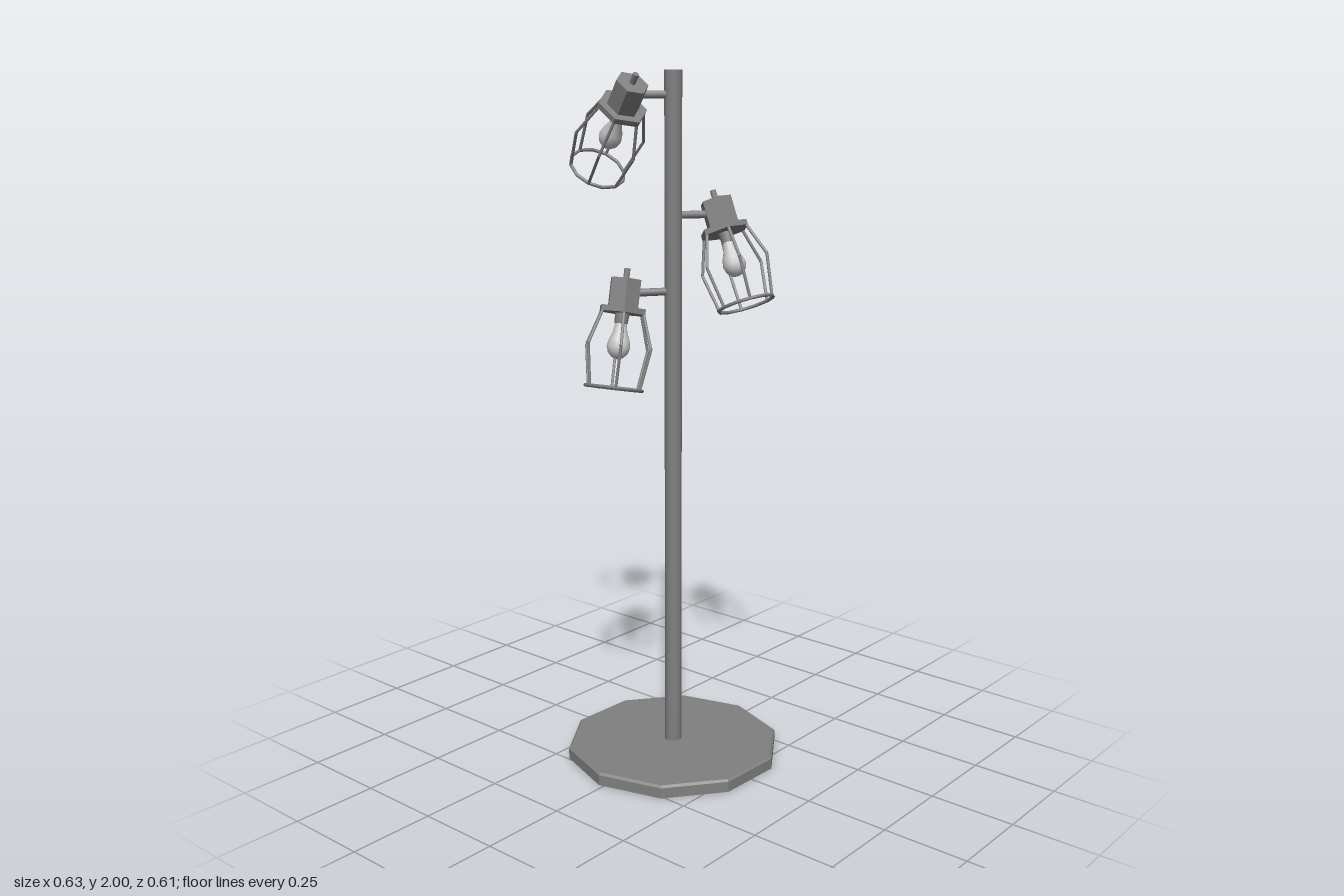
import * as THREE from 'three';

const metal = new THREE.MeshStandardMaterial({ color: 0x808080 });
metal.name = 'grey metal';
const glass = new THREE.MeshStandardMaterial({ color: 0xc8c8c8 });
glass.name = 'pale bulb glass';

const V = (x, y, z) => new THREE.Vector3(x, y, z);
const DOWN = V(0, -1, 0);

// Facet a geometry so each side is flat
function faceted(geometry) {
  const g = geometry.index ? geometry.toNonIndexed() : geometry;
  g.computeVertexNormals();
  return g;
}

function add(parent, name, geometry, material = metal, y = 0) {
  const mesh = new THREE.Mesh(geometry, material);
  mesh.name = name;
  mesh.position.y = y;
  parent.add(mesh);
  return mesh;
}

// Round bar between two points
function bar(parent, name, a, b, radius, sides) {
  const dir = b.clone().sub(a);
  const mesh = add(parent, name, new THREE.CylinderGeometry(radius, radius, dir.length(), sides));
  mesh.position.copy(a).add(b).multiplyScalar(0.5);
  mesh.quaternion.setFromUnitVectors(V(0, 1, 0), dir.normalize());
}

// Spotlight: origin at the top of the cap, hanging along -y before being aimed
function createSpot(turn) {
  const spot = new THREE.Group();
  spot.name = 'spot';
  spot.rotation.y = THREE.MathUtils.degToRad(turn);

  add(spot, 'pin', new THREE.CylinderGeometry(0.009, 0.009, 0.035, 8), metal, 0.012);
  add(spot, 'cap', faceted(new THREE.CylinderGeometry(0.047, 0.047, 0.085, 6)), metal, -0.0425);
  add(spot, 'flange', faceted(new THREE.CylinderGeometry(0.071, 0.071, 0.016, 6)), metal, -0.088);
  add(spot, 'socket', new THREE.CylinderGeometry(0.021, 0.018, 0.03, 12), metal, -0.11);

  // Bulb profile from its tip up to the neck
  const profile = [[0, -0.225], [0.016, -0.22], [0.028, -0.207], [0.033, -0.19],
    [0.029, -0.17], [0.02, -0.148], [0.016, -0.12]].map(p => new THREE.Vector2(...p));
  add(spot, 'bulb', new THREE.LatheGeometry(profile, 14), glass);

  // Wire cage: six bent ribs and a closing ring
  const cage = new THREE.Group();
  cage.name = 'cage';
  const bends = [[0.064, -0.09], [0.1, -0.19], [0.08, -0.305]];
  for (let i = 0; i < 6; i++) {
    const a = i * Math.PI / 3;
    const p = bends.map(([r, y]) => V(r * Math.sin(a), y, r * Math.cos(a)));
    bar(cage, 'upperRib', p[0], p[1], 0.0045, 6);
    bar(cage, 'lowerRib', p[1], p[2], 0.0045, 6);
  }
  add(cage, 'cageRing', new THREE.TorusGeometry(0.08, 0.005, 6, 12), metal, -0.305).rotation.x = Math.PI / 2;
  spot.add(cage);
  return spot;
}

export function createModel() {
  const model = new THREE.Group();
  model.name = 'floorLamp';

  // Ten-sided base plate, hollow underneath
  const plate = [[0, 0.028], [0.302, 0.028], [0.306, 0], [0.317, 0.003], [0.317, 0.034], [0.31, 0.04], [0, 0.04]]
    .map(p => new THREE.Vector2(...p));
  add(model, 'base', faceted(new THREE.LatheGeometry(plate, 10)))
    .rotation.y = THREE.MathUtils.degToRad(16);

  // Pole
  add(model, 'pole', new THREE.CylinderGeometry(0.025, 0.025, 1.98, 14), metal, 1.01);

  // Spotlights: cap top, centre of the cage opening, turn about own axis
  const spots = [
    [V(-0.11, 1.965, -0.05), V(-0.052, 1.725, -0.24), 0],
    [V(0.113, 1.645, 0.06), V(0.095, 1.365, 0.185), 19],
    [V(-0.11, 1.435, -0.078), V(-0.185, 1.14, -0.06), 16],
  ];
  for (const [top, mouth, turn] of spots) {
    const axis = mouth.clone().sub(top).normalize();
    const lamp = new THREE.Group();
    lamp.name = 'lamp';
    lamp.position.copy(top);
    lamp.quaternion.setFromUnitVectors(DOWN, axis);
    lamp.add(createSpot(turn));
    model.add(lamp);

    // Level arm from the pole to the middle of the cap
    const joint = top.clone().addScaledVector(axis, 0.04);
    bar(model, 'arm', V(0, joint.y, 0), joint, 0.011, 10);
  }
  return model;
}
